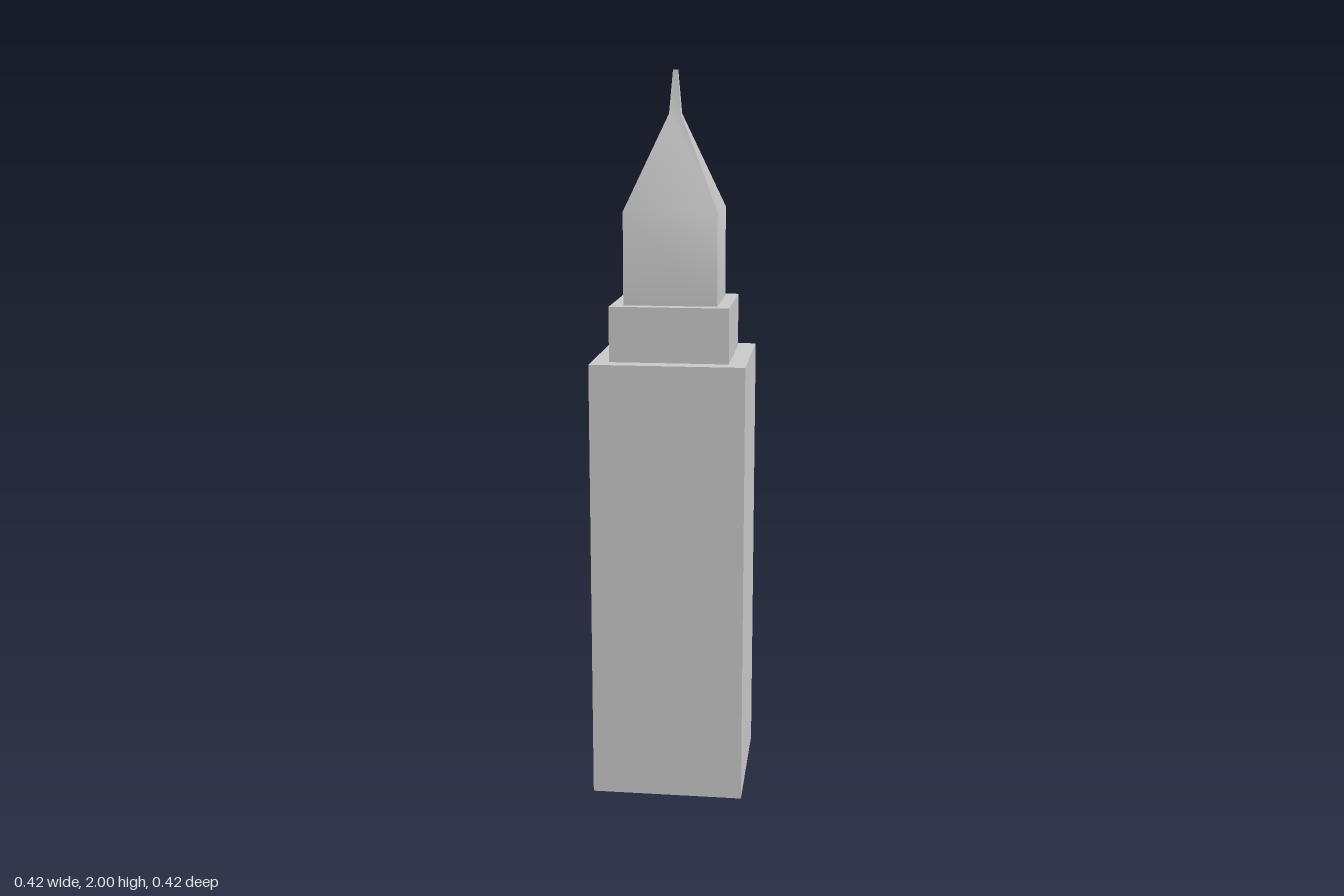
import * as THREE from 'three';
import { toCreasedNormals } from 'three/addons/utils/BufferGeometryUtils.js';

const material = new THREE.MeshStandardMaterial({ color: 0xcccccc });

// Square block standing on height y0
function block(name, half, y0, y1) {
  const mesh = new THREE.Mesh(new THREE.BoxGeometry(half * 2, y1 - y0, half * 2), material);
  mesh.position.y = (y0 + y1) / 2;
  mesh.name = name;
  return mesh;
}

// Square tower from a profile of [half width, height], bottom to top
function squareTower(name, profile) {
  const points = profile.map(([half, y]) => new THREE.Vector2(half * Math.SQRT2, y));
  const lathe = new THREE.LatheGeometry(points, 4, Math.PI / 4);
  // Faces blend up each side; the four corners stay sharp
  const mesh = new THREE.Mesh(toCreasedNormals(lathe, Math.PI / 5), material);
  mesh.name = name;
  return mesh;
}

export function createModel() {
  const group = new THREE.Group();
  group.name = 'tower';

  // Main shaft and setback
  group.add(block('mainShaft', 0.21, 0, 1.23));
  group.add(block('setback', 0.162, 1.23, 1.38));

  // Upper storey, pyramid roof and needle in one sweep
  group.add(squareTower('spire', [
    [0, 1.38],
    [0.127, 1.38],
    [0.127, 1.63],
    [0.016, 1.885],
    [0.0065, 2],
    [0, 2],
  ]));

  return group;
}
